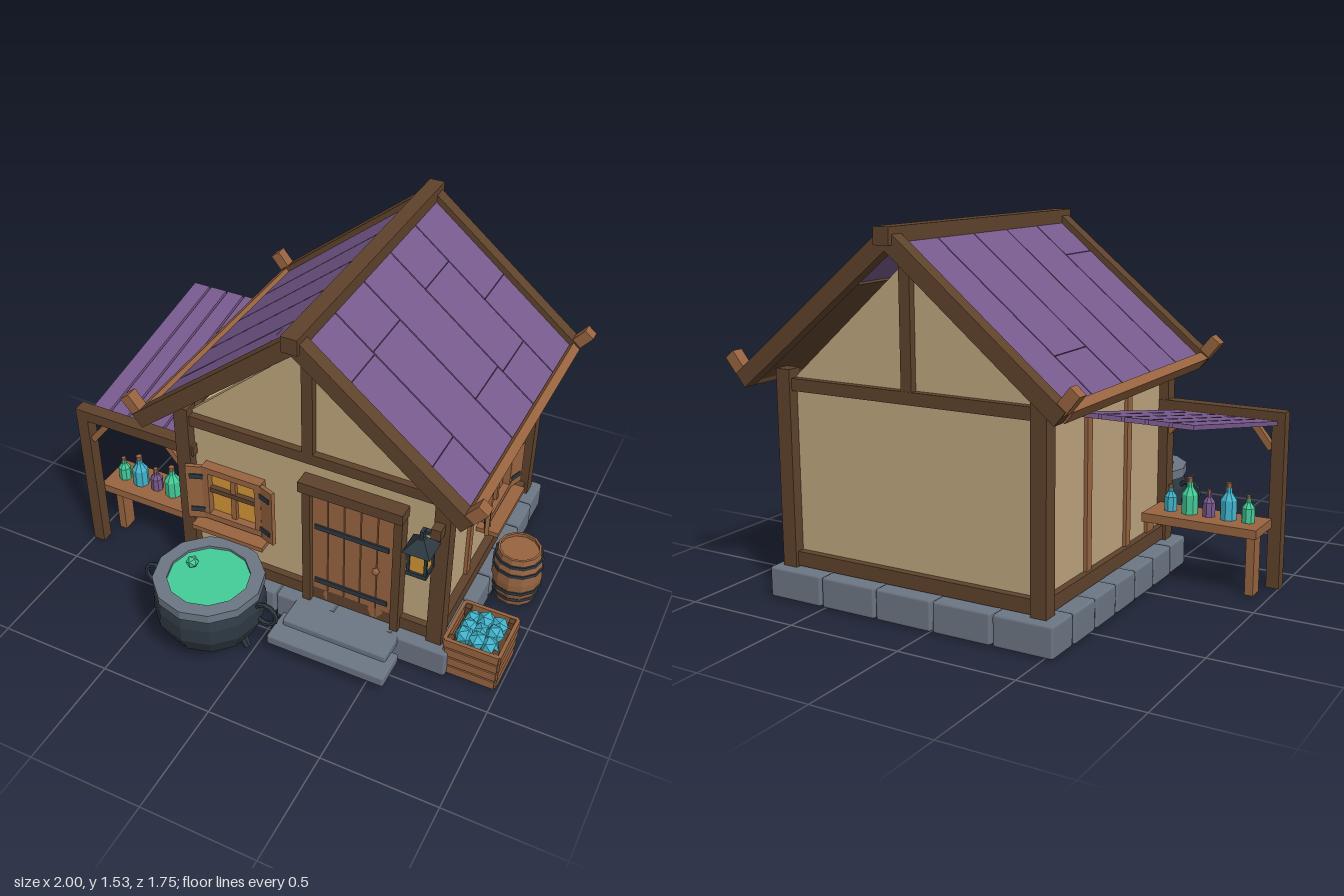
import * as THREE from 'three';
import { RoundedBoxGeometry } from 'three/addons/geometries/RoundedBoxGeometry.js';

const mat = (name, color) => Object.assign(new THREE.MeshStandardMaterial({ color }), { name });
const M = {
  darkWood: mat('dark wood', 0x5f432c),
  wood: mat('warm wood', 0x986440),
  plaster: mat('plaster', 0xbfa67e),
  stone: mat('stone', 0x6c7684),
  iron: mat('dark iron', 0x2d3841),
  purple: mat('purple planks', 0x785a8e),
  amber: mat('amber glass', 0xd39536),
  green: mat('green brew', 0x44cc99),
  cyan: mat('cyan crystal', 0x42b4cc),
};

function add(parent, name, geo, m, x = 0, y = 0, z = 0) {
  const mesh = new THREE.Mesh(geo, m);
  mesh.name = name;
  mesh.position.set(x, y, z);
  parent.add(mesh);
  return mesh;
}
// Box given by its minimum and maximum corners
function span(parent, name, m, [x0, x1], [y0, y1], [z0, z1], round = 0) {
  const s = [x1 - x0, y1 - y0, z1 - z0];
  const geo = round ? new RoundedBoxGeometry(...s, 1, round) : new THREE.BoxGeometry(...s);
  return add(parent, name, geo, m, (x0 + x1) / 2, (y0 + y1) / 2, (z0 + z1) / 2);
}
function flat(geo) {
  const g = geo.index ? geo.toNonIndexed() : geo;
  g.computeVertexNormals();
  return g;
}
const lathe = (pts, n) => flat(new THREE.LatheGeometry(pts.map(p => new THREE.Vector2(...p)), n));
function group(parent, name, x = 0, y = 0, z = 0) {
  const g = new THREE.Group();
  g.name = name;
  g.position.set(x, y, z);
  parent.add(g);
  return g;
}

const CX = 0.12, CZ = -0.195;      // centre of the house
const PITCH = Math.atan(0.815);

function buildBody(root) {
  const g = group(root, 'house');
  span(g, 'walls', M.plaster, [-0.445, 0.685], [0.1, 0.9], [-0.715, 0.325]);
  // Stone ring
  for (let i = 0; i < 5; i++) {
    const x = -0.54 + i * 0.264, z = -0.64 + i * 0.178;
    for (const z0 of [-0.8, 0.25]) span(g, 'foundationStone', M.stone, [x + 0.004, x + 0.26], [0, 0.13], [z0, z0 + 0.16], 0.012);
    for (const x0 of [-0.54, 0.62]) span(g, 'foundationStone', M.stone, [x0, x0 + 0.16], [0, 0.13], [z + 0.004, z + 0.174], 0.012);
  }
  // Timber frame
  for (const x of [-0.453, 0.702]) for (const z of [0.335, -0.727])
    span(g, 'cornerPost', M.darkWood, [x - 0.033, x + 0.033], [0.05, 0.945], [z - 0.033, z + 0.033]);
  for (const [y0, y1] of [[0.135, 0.195], [0.858, 0.908]]) {
    for (const z of [0.33, -0.722]) span(g, 'crossBeam', M.darkWood, [-0.45, 0.7], [y0, y1], [z - 0.025, z + 0.025]);
    for (const x of [-0.448, 0.697]) span(g, 'sideBeam', M.darkWood, [x - 0.025, x + 0.025], [y0, y1], [-0.72, 0.33]);
  }
  for (const x of [-0.445, 0.685]) for (const z of [-0.02, -0.37])
    span(g, 'wallStud', M.wood, [x - 0.015, x + 0.015], [0.19, 0.86], [z - 0.02, z + 0.02]);
  // Gables
  const tri = new THREE.Shape([[-0.565, 0.9], [0.565, 0.9], [0, 1.4]].map(p => new THREE.Vector2(...p)));
  for (const z of [0.295, -0.715]) {
    add(g, 'gable', new THREE.ExtrudeGeometry(tri, { depth: 0.03, bevelEnabled: false }), M.plaster, CX, 0, z);
    const c = z > 0 ? 0.33 : -0.72;
    span(g, 'kingPost', M.darkWood, [0.096, 0.144], [0.9, 1.43], [c - 0.025, c + 0.025]);
  }
}

function buildRoof(root) {
  const g = group(root, 'roof');
  const c = Math.cos(PITCH), s = Math.sin(PITCH);
  // u runs down the slope, v stands out from it
  const slab = (side, name, m, u0, u1, v0, v1, z0, z1) => {
    const u = (u0 + u1) / 2, v = (v0 + v1) / 2;
    const b = add(g, name, new THREE.BoxGeometry(u1 - u0, v1 - v0, z1 - z0), m,
      CX + side * (u * c + v * s), 1.483 - u * s + v * c, (z0 + z1) / 2);
    b.rotation.z = -side * PITCH;
  };
  // Plank joints, front column first
  const joints = {
    1: [[0.25, 0.68], [0.24], [0.67], [0.24, 0.7], [0.46]],
    '-1': [[0.22], [], [], [0.68], []],
  };
  const colZ = [0.41, 0.182, -0.068, -0.318, -0.568, -0.8];
  for (const side of [1, -1]) {
    joints[side].forEach((cuts, i) => {
      const us = [0.02, ...cuts, 0.885];
      for (let k = 0; k + 1 < us.length; k++)
        slab(side, 'roofPlank', M.purple, us[k], us[k + 1] - 0.003, -0.02, 0.01, colZ[i + 1] + 0.003, colZ[i] - 0.003);
    });
    slab(side, 'roofBoarding', M.darkWood, 0.25, 0.885, -0.03, -0.021, -0.8, 0.41);
    slab(side, 'eaveBoard', M.wood, 0.885, 0.925, -0.03, 0.03, -0.8, 0.41);
    for (const [z0, z1] of [[0.41, 0.472], [-0.86, -0.8]]) {
      slab(side, 'rafter', M.darkWood, 0, 0.918, -0.034, 0.034, z0, z1);
      slab(side, 'rafterPeg', M.wood, 0.873, 0.923, 0.02, 0.112, z0 + 0.005, z1 - 0.005);
    }
  }
  span(g, 'ridgeBeam', M.darkWood, [0.086, 0.154], [1.46, 1.527], [-0.88, 0.49]);
}

function buildWindow(root, name, x, y, z, turn) {
  const g = group(root, name, x, y, z);
  g.rotation.y = turn;
  span(g, 'pane', M.amber, [-0.125, 0.125], [-0.125, 0.125], [0, 0.012]);
  for (const s of [-1, 1]) {
    span(g, 'frameSide', M.wood, [s * 0.125 - 0.015, s * 0.125 + 0.015], [-0.14, 0.14], [0, 0.045]);
    span(g, 'frameRail', M.wood, [-0.14, 0.14], [s * 0.125 - 0.015, s * 0.125 + 0.015], [0, 0.046]);
    const sh = group(g, 'shutter', s * 0.14, -0.005, 0.025);
    sh.rotation.y = -s * 0.35;
    span(sh, 'shutterBoard', M.wood, [Math.min(0, s * 0.075), Math.max(0, s * 0.075)], [-0.14, 0.14], [0, 0.018]);
    for (const b of [-0.09, 0.09])
      span(sh, 'shutterStrap', M.iron, [Math.min(0, s * 0.06), Math.max(0, s * 0.06)], [b - 0.012, b + 0.012], [-0.003, 0.023]);
  }
  span(g, 'mullion', M.wood, [-0.012, 0.012], [-0.12, 0.12], [0, 0.03]);
  span(g, 'crossBar', M.darkWood, [-0.12, 0.12], [0.005, 0.028], [0, 0.034]);
  span(g, 'sill', M.wood, [-0.17, 0.17], [-0.172, -0.15], [0, 0.1]);
}

function buildDoor(root) {
  const g = group(root, 'door');
  for (let i = 0; i < 5; i++) span(g, 'doorPlank', M.wood, [0.141 + i * 0.0735, 0.21 + i * 0.0735], [0.14, 0.735], [0.32, 0.355]);
  span(g, 'doorBack', M.darkWood, [0.14, 0.51], [0.14, 0.735], [0.32, 0.34]);
  for (const x of [0.124, 0.527]) span(g, 'doorJamb', M.darkWood, [x - 0.018, x + 0.018], [0.13, 0.74], [0.32, 0.38]);
  span(g, 'lintel', M.darkWood, [0.095, 0.55], [0.735, 0.785], [0.32, 0.395]);
  for (const y of [0.245, 0.545]) span(g, 'doorStrap', M.iron, [0.155, 0.485], [y - 0.012, y + 0.012], [0.34, 0.362]);
  add(g, 'doorKnob', flat(new THREE.IcosahedronGeometry(0.016, 1)), M.wood, 0.435, 0.42, 0.37);
  span(g, 'upperStep', M.stone, [0.085, 0.56], [0.08, 0.13], [0.39, 0.53], 0.01);
  span(g, 'lowerStep', M.stone, [0.055, 0.59], [0.05, 0.1], [0.46, 0.615], 0.01);
}

function buildLantern(root) {
  const g = group(root, 'lantern', 0.645, 0, 0.425);
  span(g, 'bracket', M.darkWood, [0.03, 0.07], [0.74, 0.79], [-0.07, -0.01]);
  span(g, 'arm', M.iron, [-0.008, 0.05], [0.755, 0.77], [-0.03, -0.01]);
  span(g, 'hook', M.iron, [-0.007, 0.007], [0.72, 0.775], [-0.025, 0.007]);
  const cap = add(g, 'lanternCap', flat(new THREE.CylinderGeometry(0.02, 0.082, 0.05, 4)), M.iron, 0, 0.715);
  cap.rotation.y = Math.PI / 4;
  span(g, 'lanternGlass', M.amber, [-0.034, 0.034], [0.585, 0.695], [-0.034, 0.034]);
  span(g, 'lanternBase', M.iron, [-0.043, 0.043], [0.568, 0.588], [-0.043, 0.043]);
  for (const x of [-0.036, 0.036]) for (const z of [-0.036, 0.036])
    span(g, 'lanternBar', M.iron, [x - 0.006, x + 0.006], [0.58, 0.695], [z - 0.006, z + 0.006]);
}

function buildCauldron(root) {
  const g = group(root, 'cauldron', -0.19, 0, 0.64);
  add(g, 'pot', lathe([[0, 0.06], [0.12, 0.06], [0.195, 0.115], [0.235, 0.2], [0.232, 0.27], [0.21, 0.325]], 12), M.iron);
  add(g, 'rim', lathe([[0.205, 0.322], [0.232, 0.322], [0.232, 0.363], [0.172, 0.363], [0.172, 0.33]], 12), M.stone);
  add(g, 'brew', flat(new THREE.CylinderGeometry(0.178, 0.178, 0.012, 12)), M.green, 0, 0.345);
  add(g, 'bubble', flat(new THREE.IcosahedronGeometry(0.028, 0)), M.green, -0.075, 0.405);
  for (const s of [-1, 1]) {
    add(g, 'handle', flat(new THREE.TorusGeometry(0.05, 0.011, 6, 12)), M.iron, s * 0.26, 0.255);
    const leg = add(g, 'foot', flat(new THREE.CylinderGeometry(0.026, 0.016, 0.1, 6)), M.iron, s * 0.148, 0.068);
    leg.rotation.z = s * 0.45;
  }
}

function buildAwning(root) {
  const g = group(root, 'awning');
  span(g, 'awningPost', M.darkWood, [-1, -0.945], [0, 0.74], [0.3, 0.355]);
  span(g, 'awningBeam', M.darkWood, [-1, -0.41], [0.7, 0.75], [0.298, 0.357]);
  for (const [x, y, r] of [[-0.9, 0.64, 0.9], [-0.525, 0.66, -0.9]])
    add(g, 'brace', new THREE.BoxGeometry(0.13, 0.028, 0.03), M.wood, x, y, 0.328).rotation.z = r;
  for (let i = 0; i < 5; i++)
    add(g, 'awningSlat', new THREE.BoxGeometry(0.08, 0.018, 0.925), M.purple, -0.928 + i * 0.0907, 0.783, -0.14).rotation.x = 0.18;
  // Shelf with bottles
  span(g, 'shelf', M.wood, [-0.96, -0.46], [0.262, 0.3], [0.11, 0.3]);
  for (const x of [-0.917, -0.44]) span(g, 'shelfLeg', M.wood, [x - 0.018, x + 0.018], [0, 0.265], [0.17, 0.24]);
  const colours = [M.green, M.cyan, M.purple, M.green, M.cyan];
  colours.forEach((m, i) => {
    const h = i % 2 && i < 4 ? 0.15 : 0.11, r = i % 2 && i < 4 ? 0.036 : 0.028;
    const x = -0.89 + i * 0.0855;
    add(g, 'bottle', lathe([[0, 0], [r, 0], [r, h * 0.55], [r * 0.4, h * 0.75], [r * 0.4, h * 0.9], [0, h * 0.9]], 8), m, x, 0.3, 0.21);
    add(g, 'cork', flat(new THREE.CylinderGeometry(r * 0.38, r * 0.38, h * 0.14, 6)), M.wood, x, 0.3 + h * 0.95, 0.21);
  });
}

function buildBarrelAndCrate(root) {
  const b = group(root, 'barrel', 0.866, 0, -0.195);
  add(b, 'staves', lathe([[0, 0], [0.093, 0], [0.108, 0.07], [0.113, 0.13], [0.108, 0.2], [0.095, 0.265], [0.085, 0.265], [0.085, 0.25], [0, 0.25]], 12), M.wood);
  for (const [y, r] of [[0.04, 0.105], [0.085, 0.114], [0.185, 0.114], [0.23, 0.107]])
    add(b, 'barrelHoop', flat(new THREE.CylinderGeometry(r, r, 0.016, 12)), M.iron, 0, y);
  // Slatted crate of crystals
  const c = group(root, 'crate', 0.873, 0, 0.268);
  for (const s of [-1, 1]) {
    for (let i = 0; i < 4; i++) {
      const y = [0.005 + i * 0.052, 0.046 + i * 0.052], w = 0.108 + i * 0.003;
      span(c, 'crateSlat', M.wood, [-w, w], y, [s * w - 0.008, s * w + 0.008]);
      span(c, 'crateSlat', M.wood, [s * w - 0.008, s * w + 0.008], y, [-w, w]);
    }
    for (const t of [-1, 1]) span(c, 'cratePost', M.darkWood, [s * 0.095 - 0.012, s * 0.095 + 0.012], [0, 0.2], [t * 0.095 - 0.012, t * 0.095 + 0.012]);
  }
  span(c, 'crateFilling', M.darkWood, [-0.1, 0.1], [0.005, 0.165], [-0.1, 0.1]);
  for (let i = 0; i < 9; i++) {
    const gem = add(c, 'crystal', flat(new THREE.IcosahedronGeometry(0.042, 0)), M.cyan,
      (i % 3 - 1) * 0.055, 0.178 + (i * 7 % 4) * 0.006, (Math.floor(i / 3) - 1) * 0.055);
    gem.rotation.set(i, i * 2, 0);
  }
}

export function createModel() {
  const root = new THREE.Group();
  root.name = 'potionCottage';
  buildBody(root);
  buildRoof(root);
  buildDoor(root);
  buildWindow(root, 'frontWindow', -0.23, 0.533, 0.325, 0);
  buildWindow(root, 'sideWindow', 0.685, 0.52, -0.287, Math.PI / 2);
  buildLantern(root);
  buildCauldron(root);
  buildAwning(root);
  buildBarrelAndCrate(root);
  return root;
}
